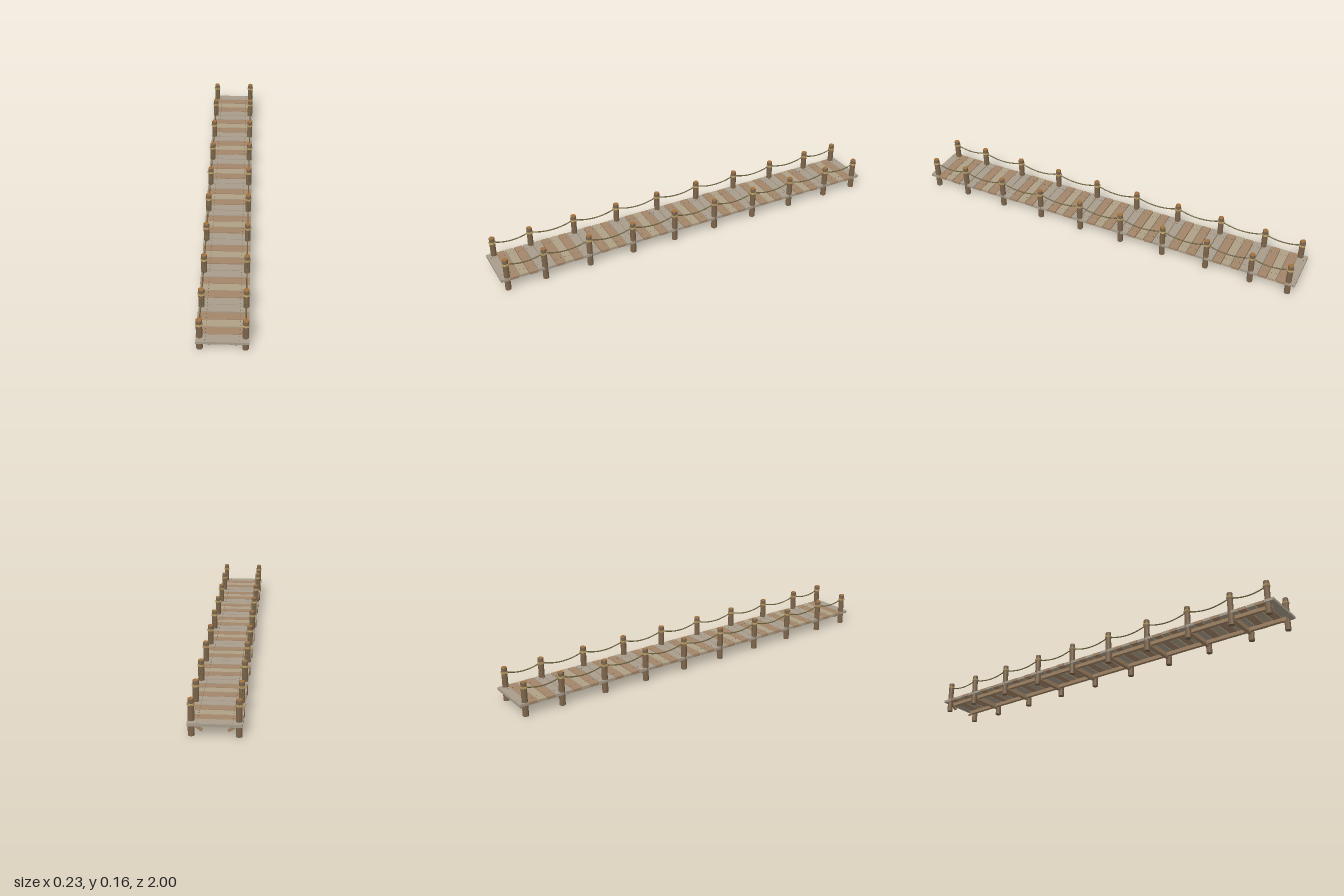
import * as THREE from 'three';

const mat = (name, color, side = THREE.FrontSide, flatShading = true) =>
  Object.assign(new THREE.MeshStandardMaterial({ color, side, flatShading }), { name });

export function createModel() {
  const group = new THREE.Group();
  group.name = 'ropeRailedWalkway';
  const postWood = mat('post wood', 0x7d664c);
  const cutWood = mat('cut post top', 0xa5713a);
  const greyPlank = mat('grey plank', 0xa99d8c);
  const brownPlank = mat('brown plank', 0xa3866a);
  const palePlank = mat('pale plank', 0xaf9f86);
  const beamWood = mat('beam wood', 0x9f8263);
  const ropeTan = mat('lashing rope', 0xb59a62, THREE.FrontSide, false);
  const ropeOlive = mat('hanging rope', 0x6e6440, THREE.FrontSide, false);
  const iron = mat('nail iron', 0x3c3832);

  const add = (name, geo, material, x, y, z, parent = group) => {
    const m = new THREE.Mesh(geo, material);
    m.name = name;
    m.position.set(x, y, z);
    parent.add(m);
    return m;
  };

  let seed = 7;
  const rand = () => (seed = (seed * 16807) % 2147483647) / 2147483647;

  const postX = 0.097;
  const rows = [-0.967, -0.785, -0.562, -0.337, -0.112, 0.112, 0.337, 0.562, 0.785, 0.967];

  // Deck of cross planks with narrow gaps
  const count = 45, pitch = 2 / count;
  const tones = [greyPlank, brownPlank, palePlank, brownPlank, greyPlank];
  const nailGeo = new THREE.CylinderGeometry(0.0016, 0.0016, 0.001, 6);
  for (let i = 0; i < count; i++) {
    const z = -1 + (i + 0.5) * pitch;
    const end = i === 0 || i === count - 1;
    const depth = end ? pitch : pitch - 0.003 - rand() * 0.002;
    const width = end ? 0.224 : 0.22 + rand() * 0.004;
    const top = end ? 0.067 : 0.0655 + rand() * 0.0015;
    add('plank', new THREE.BoxGeometry(width, 0.013, depth),
      end ? greyPlank : tones[i % 5], 0, top - 0.0065, z);
    for (const s of [-1, 1])
      for (const d of [-0.011, 0.011]) add('nail', nailGeo, iron, s * 0.072, top + 0.0004, z + d);
  }

  // Stringers along each side
  for (const s of [-1, 1])
    add('stringer', new THREE.BoxGeometry(0.016, 0.018, 1.95), beamWood, s * 0.072, 0.045, 0);

  // Cross beams under the deck
  rows.slice(1, -1).forEach(z =>
    add('crossBeam', new THREE.BoxGeometry(0.168, 0.023, 0.018), beamWood, 0, 0.0415, z));

  // Posts with bevelled cut tops and rope lashings
  const shaftGeo = new THREE.CylinderGeometry(0.0136, 0.0143, 0.16, 10);
  const capGeo = new THREE.CylinderGeometry(0.0122, 0.0136, 0.003, 10);
  const coilGeo = new THREE.TorusGeometry(0.0141, 0.0027, 6, 16).rotateX(Math.PI / 2);
  for (const s of [-1, 1]) {
    for (const z of rows) {
      const post = new THREE.Group();
      post.name = 'post';
      post.position.set(s * postX, 0, z);
      group.add(post);
      add('postShaft', shaftGeo, postWood, 0, 0.08, 0, post);
      add('postTop', capGeo, [postWood, cutWood, postWood], 0, 0.1615, 0, post);
      for (const y of [0.1355, 0.1403]) add('lashing', coilGeo, ropeTan, 0, y, 0, post);
    }

    // Sagging rope from post to post
    for (let i = 0; i < rows.length - 1; i++) {
      const a = rows[i], span = rows[i + 1] - a;
      const sag = 0.1 * span;
      const pts = Array.from({ length: 9 }, (_, k) => {
        const t = k / 8;
        return new THREE.Vector3(s * postX, 0.139 - sag * 4 * t * (1 - t), a + span * t);
      });
      add('rope', new THREE.TubeGeometry(new THREE.CatmullRomCurve3(pts), 16, 0.0029, 6),
        ropeOlive, 0, 0, 0);
    }

    // Diagonal braces by the end posts
    for (const e of [-1, 1]) {
      const brace = add('brace', new THREE.BoxGeometry(0.044, 0.01, 0.012), beamWood,
        s * 0.071, 0.036, e * 0.967);
      brace.rotation.z = s * 0.6;
    }
  }
  return group;
}
